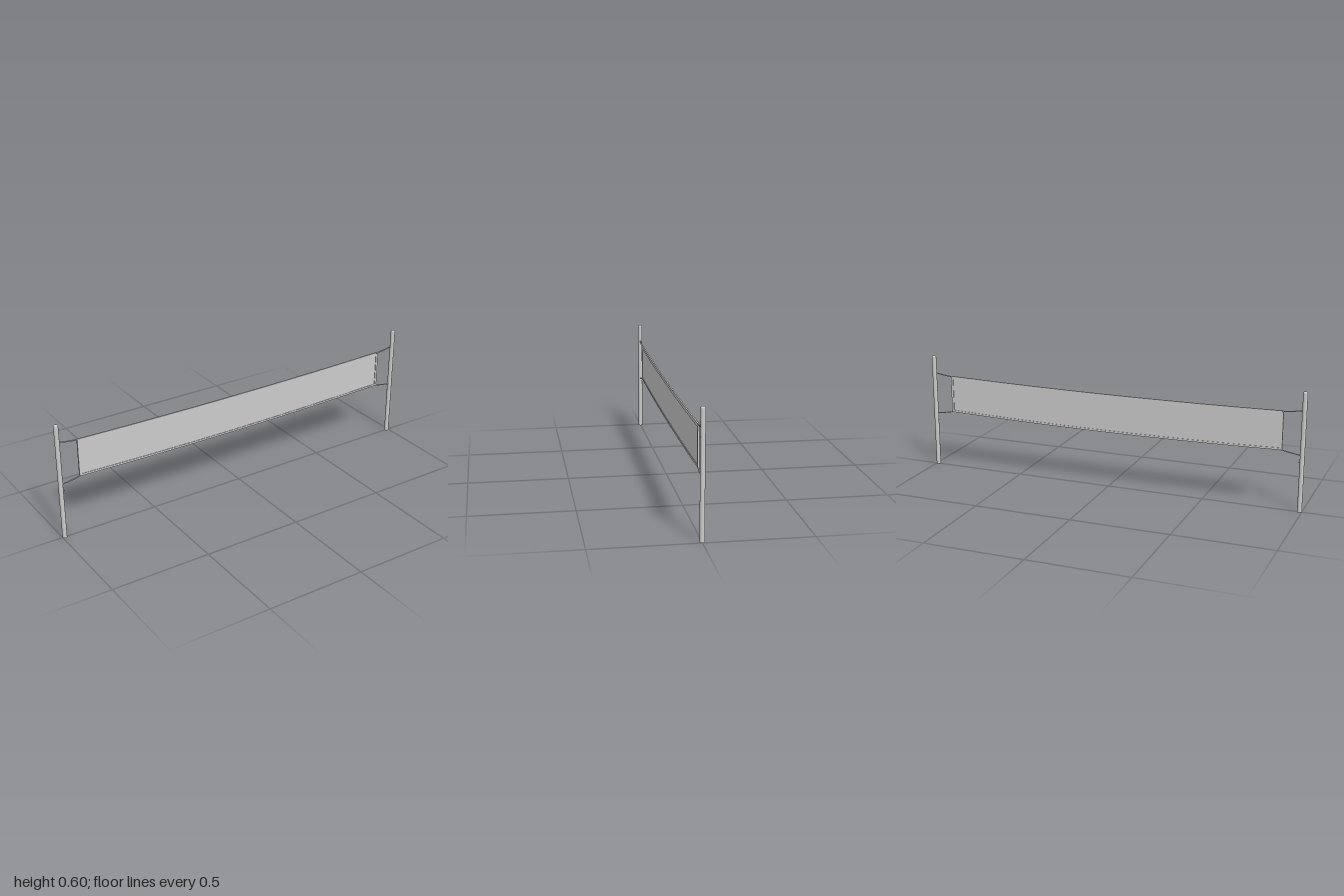
import * as THREE from 'three';

const HALF = 0.89; // half length of the net
const topY = x => 0.486 + 0.011 * (x / HALF) ** 2;
const bottomY = x => 0.288 + 0.014 * (x / HALF) ** 2;

export function createModel() {
  const group = new THREE.Group();
  const mat = new THREE.MeshStandardMaterial({ color: 0xcccccc });
  const add = (name, geometry) => {
    const mesh = new THREE.Mesh(geometry, mat);
    mesh.name = name;
    group.add(mesh);
    return mesh;
  };

  // Sagging strip between two height curves
  const strip = (name, low, high, depth) => {
    const g = new THREE.BoxGeometry(2 * HALF, 1, depth, 24, 1, 1);
    const p = g.attributes.position;
    for (let i = 0; i < p.count; i++) {
      const x = p.getX(i);
      p.setY(i, p.getY(i) > 0 ? high(x) : low(x));
    }
    g.computeVertexNormals();
    return add(name, g);
  };
  strip('net', bottomY, topY, 0.002);
  strip('topTape', x => topY(x) - 0.016, topY, 0.007);
  strip('bottomTape', bottomY, x => bottomY(x) + 0.01, 0.007);

  // Post outline with a rounded top
  const profile = [[0, 0], [0.0115, 0], [0.0115, 0], [0.0115, 0.59], [0.0105, 0.595],
    [0.0075, 0.5985], [0, 0.6]].map(([r, y]) => new THREE.Vector2(r, y));

  const rope = (name, points, radius = 0.0018) => add(name, new THREE.TubeGeometry(
    new THREE.CatmullRomCurve3(points.map(a => new THREE.Vector3(...a))), 10, radius, 6));

  for (const s of [-1, 1]) {
    const side = s > 0 ? 'left' : 'right';
    add(side + 'Post', new THREE.LatheGeometry(profile, 20)).position.x = s * 0.9885;

    // Upright tape at the end of the net
    const h = topY(HALF) - bottomY(HALF);
    add(side + 'EndTape', new THREE.BoxGeometry(0.012, h, 0.008))
      .position.set(s * (HALF - 0.006), bottomY(HALF) + h / 2, 0);

    // Paired cords from each net corner to the post
    for (const z of [-0.003, 0.003]) {
      rope(side + 'TopRope', [[s * 0.979, 0.506, z * 0.4], [s * 0.935, 0.4985, z], [s * 0.882, 0.493, z]]);
      rope(side + 'BottomRope', [[s * 0.979, 0.286, z * 0.4], [s * 0.935, 0.2925, z], [s * 0.882, 0.303, z]]);
    }

    // Eyelets on the post and a small cleat below them
    for (const y of [0.506, 0.286]) {
      add(side + 'Eyelet', new THREE.TorusGeometry(0.0035, 0.0012, 6, 12))
        .position.set(s * 0.975, y, 0);
    }
    const cleat = add(side + 'Cleat', new THREE.CylinderGeometry(0.002, 0.002, 0.01, 8));
    cleat.rotation.z = Math.PI / 2;
    cleat.position.set(s * 0.975, 0.25, 0);
  }
  return group;
}
